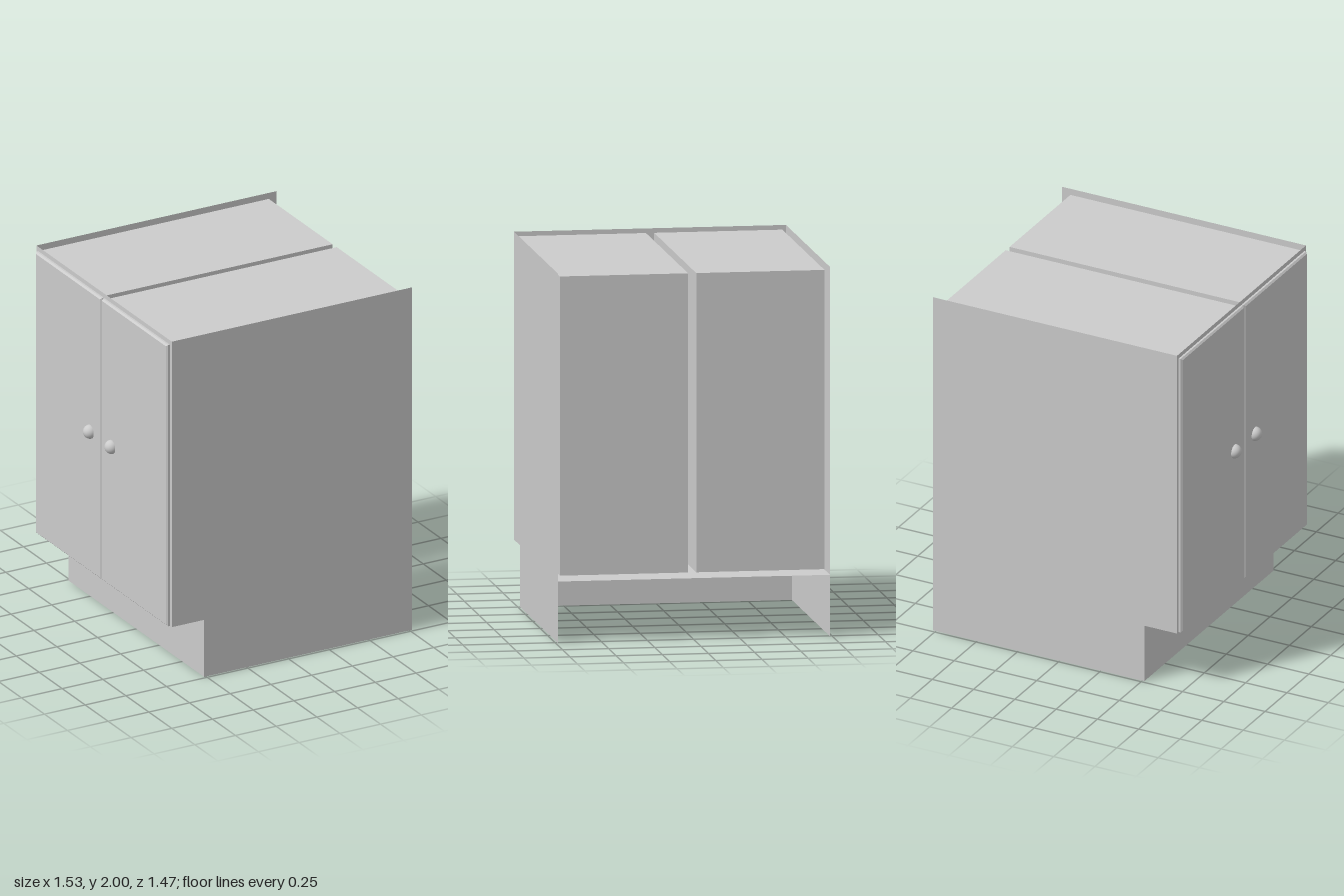
import * as THREE from 'three';

const material = new THREE.MeshStandardMaterial({ color: 0xcccccc, side: THREE.DoubleSide });

// Main dimensions: the doors face -x
const BACK = 0.766, FRONT = -0.71, KICK = -0.512, FLOOR = 0.333, TOP = 2, HALF = 0.737;
const CAVITY = { x: 0.706, y0: 0.355, y1: 1.975, z0: 0.022, z1: 0.717 };
const DOOR = { x: -0.73, y0: 0.333, y1: 1.975, z0: 0.003, z1: 0.717, chamfer: 0.009 };

function add(parent, name, geometry, x = 0, y = 0, z = 0) {
  const mesh = new THREE.Mesh(geometry, material);
  mesh.name = name;
  mesh.position.set(x, y, z);
  parent.add(mesh);
  return mesh;
}

function polygon(points, Type = THREE.Shape) {
  return new Type(points.map(([a, b]) => new THREE.Vector2(a, b)));
}

const rect = (a0, b0, a1, b1) => [[a0, b0], [a1, b0], [a1, b1], [a0, b1]];

// Open-fronted compartment: a box without its -x face
function cavityGeometry(w, h, d) {
  const g = new THREE.BoxGeometry(w, h, d);
  const index = Array.from(g.index.array);
  index.splice(6, 6);
  g.setIndex(index);
  g.clearGroups();
  return g;
}

// Door slab whose front edges are chamfered
function doorGeometry(t, h, d, c) {
  const box = new THREE.BoxGeometry(t, h, d, 2, 1, 1);
  const p = box.attributes.position;
  for (let i = 0; i < p.count; i++) {
    const x = p.getX(i);
    if (Math.abs(x) < 1e-6) p.setX(i, -t / 2 + c);
    else if (x < 0) {
      p.setY(i, p.getY(i) - Math.sign(p.getY(i)) * c);
      p.setZ(i, p.getZ(i) - Math.sign(p.getZ(i)) * c);
    }
  }
  const g = box.toNonIndexed();
  g.computeVertexNormals();
  return g;
}

export function createModel() {
  const cabinet = new THREE.Group();
  cabinet.name = 'baseCabinet';

  // Thin side panels with a toe-kick notch
  const side = polygon([[KICK, 0], [BACK, 0], [BACK, TOP], [FRONT, TOP], [FRONT, FLOOR], [KICK, FLOOR]]);
  for (const s of [1, -1]) {
    add(cabinet, s > 0 ? 'leftSidePanel' : 'rightSidePanel', new THREE.ShapeGeometry(side), 0, 0, s * HALF);
  }

  // Floor sheet and toe-kick board
  const floor = add(cabinet, 'floorPanel', new THREE.PlaneGeometry(BACK - FRONT, HALF * 2), (BACK + FRONT) / 2, FLOOR, 0);
  floor.rotation.x = -Math.PI / 2;
  const kick = add(cabinet, 'toeKick', new THREE.PlaneGeometry(HALF * 2, FLOOR), KICK, FLOOR / 2, 0);
  kick.rotation.y = -Math.PI / 2;

  // Face frame with one opening per compartment
  const frame = polygon(rect(-HALF, FLOOR, HALF, TOP));
  for (const s of [1, -1]) {
    frame.holes.push(polygon(rect(s * CAVITY.z0, CAVITY.y0, s * CAVITY.z1, CAVITY.y1), THREE.Path));
  }
  const faceFrame = add(cabinet, 'faceFrame', new THREE.ShapeGeometry(frame), FRONT, 0, 0);
  faceFrame.rotation.y = -Math.PI / 2;

  for (const s of [1, -1]) {
    const prefix = s > 0 ? 'left' : 'right';

    // Inner compartment
    add(cabinet, prefix + 'Compartment',
      cavityGeometry(CAVITY.x - FRONT, CAVITY.y1 - CAVITY.y0, CAVITY.z1 - CAVITY.z0),
      (CAVITY.x + FRONT) / 2, (CAVITY.y0 + CAVITY.y1) / 2, s * (CAVITY.z0 + CAVITY.z1) / 2);

    // Door
    add(cabinet, prefix + 'Door',
      doorGeometry(FRONT - DOOR.x, DOOR.y1 - DOOR.y0, DOOR.z1 - DOOR.z0, DOOR.chamfer),
      (FRONT + DOOR.x) / 2, (DOOR.y0 + DOOR.y1) / 2, s * (DOOR.z0 + DOOR.z1) / 2);

    // Domed knob
    const knob = add(cabinet, prefix + 'Knob',
      new THREE.SphereGeometry(0.039, 24, 10, 0, Math.PI * 2, 0, Math.PI / 2), DOOR.x, 1.154, s * 0.117);
    knob.rotation.z = Math.PI / 2;
  }

  return cabinet;
}
